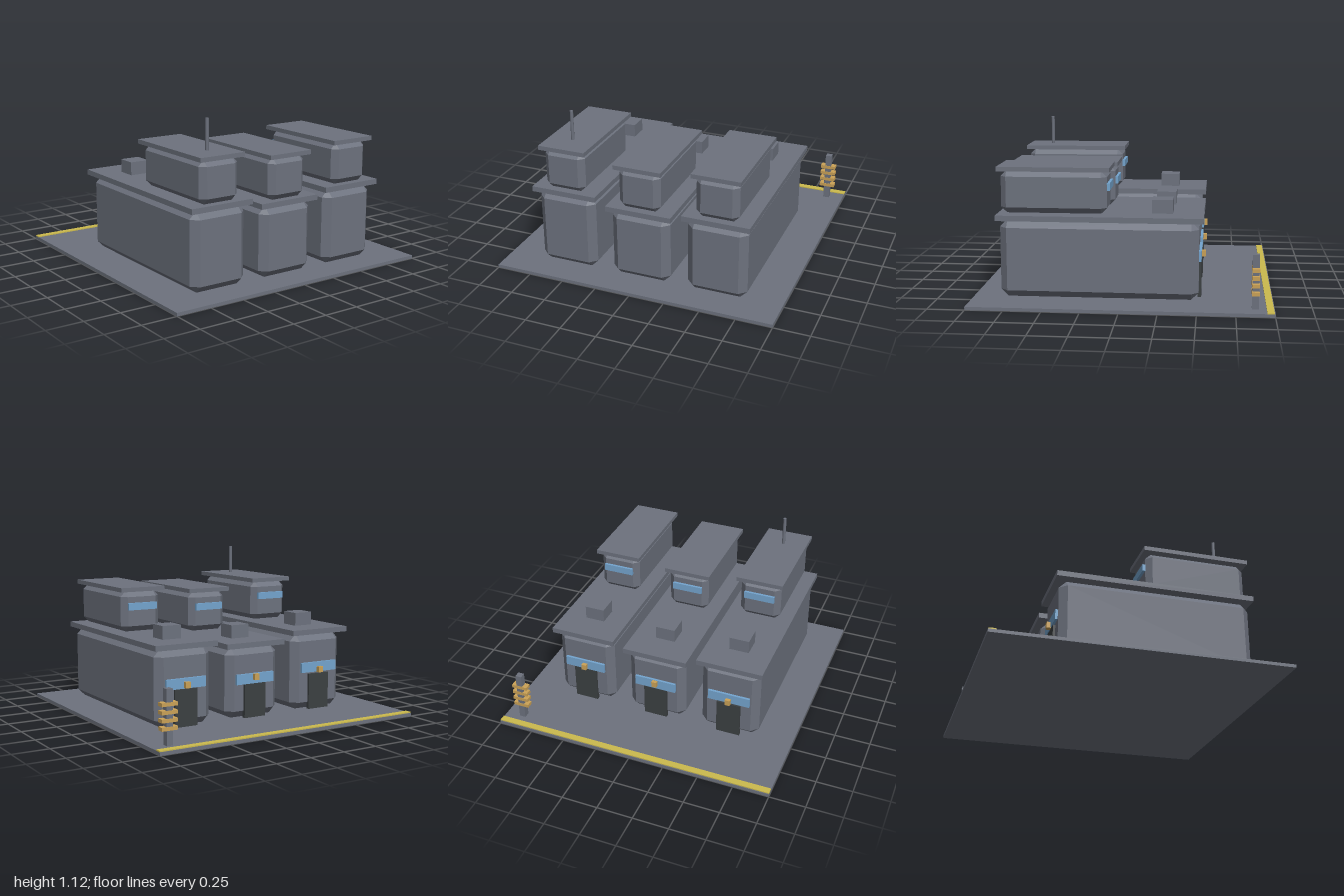
import * as THREE from 'three';
import { ConvexGeometry } from 'three/addons/geometries/ConvexGeometry.js';

const material = (name, color) => {
  const m = new THREE.MeshStandardMaterial({ color });
  m.name = name;
  return m;
};

export function createModel() {
  const slate = material('slate', 0x6d727e);
  const dark = material('charcoal', 0x3c4042);
  const blue = material('windowBlue', 0x74a5cf);
  const amber = material('amber', 0xcba257);
  const yellow = material('stripeYellow', 0xccba4e);
  const model = new THREE.Group();
  model.name = 'compound';

  const add = (parent, name, geometry, mat, x, y, z) => {
    const mesh = new THREE.Mesh(geometry, mat);
    mesh.name = name;
    mesh.position.set(x, y, z);
    parent.add(mesh);
  };
  // box placed by the centre of its underside
  const box = (parent, name, mat, w, h, d, x, y, z) =>
    add(parent, name, new THREE.BoxGeometry(w, h, d), mat, x, y + h / 2, z);

  // box with all twelve edges cut by c
  const chamferBox = (w, h, d, c) => {
    const half = [w / 2, h / 2, d / 2];
    const points = [];
    for (const sx of [-1, 1]) for (const sy of [-1, 1]) for (const sz of [-1, 1])
      for (let full = 0; full < 3; full++) {
        const p = half.map((v, i) => (i === full ? v : v - c));
        points.push(new THREE.Vector3(p[0] * sx, p[1] * sy, p[2] * sz));
      }
    return new ConvexGeometry(points);
  };

  // ground slab and marked edge
  box(model, 'ground', slate, 2, 0.022, 2, 0, 0, 0);
  box(model, 'edgeStripe', yellow, 2, 0.008, 0.046, 0, 0.021, -0.972);

  // three two-storey buildings, entrances facing the back
  const buildings = [
    { name: 'rightBuilding', x: -0.545, h: 0.54 },
    { name: 'middleBuilding', x: 0, h: 0.49 },
    { name: 'leftBuilding', x: 0.545, h: 0.525 },
  ];
  for (const { name, x, h } of buildings) {
    const b = new THREE.Group();
    b.name = name;
    b.position.x = x;
    model.add(b);
    const eave = 0.022 + h, deck = eave + 0.037;
    add(b, 'lowerStorey', chamferBox(0.42, h, 1.326, 0.05), slate, 0, 0.022 + h / 2, 0.155);
    box(b, 'lowerRoof', slate, 0.47, 0.037, 1.374, 0, eave, 0.15);
    add(b, 'upperStorey', chamferBox(0.296, 0.287, 0.714, 0.04), slate, 0, deck + 0.1435, 0.462);
    box(b, 'upperRoof', slate, 0.338, 0.03, 0.754, 0, deck + 0.285, 0.461);
    box(b, 'roofVent', slate, 0.14, 0.093, 0.14, 0, deck, -0.26);
    box(b, 'upperWindow', blue, 0.22, 0.05, 0.02, 0, deck + 0.155, 0.097);
    box(b, 'lowerWindow', blue, 0.3, 0.07, 0.02, 0, 0.6 * h - 0.035, -0.515);
    box(b, 'door', dark, 0.17, 0.255, 0.026, 0, 0.022, -0.511);
    box(b, 'doorLamp', amber, 0.036, 0.042, 0.045, 0, 0.285, -0.528);
  }

  // antenna on the tallest roof
  add(model, 'antenna', new THREE.CylinderGeometry(0.012, 0.012, 0.21, 8), slate, -0.545, 1.018, 0.66);

  // signal post with four cross bars
  box(model, 'post', slate, 0.044, 0.358, 0.044, 0.876, 0.022, -0.876);
  for (let i = 0; i < 4; i++)
    box(model, 'postBar', amber, 0.112, 0.024, 0.049, 0.876, 0.118 + i * 0.051, -0.876);

  return model;
}
